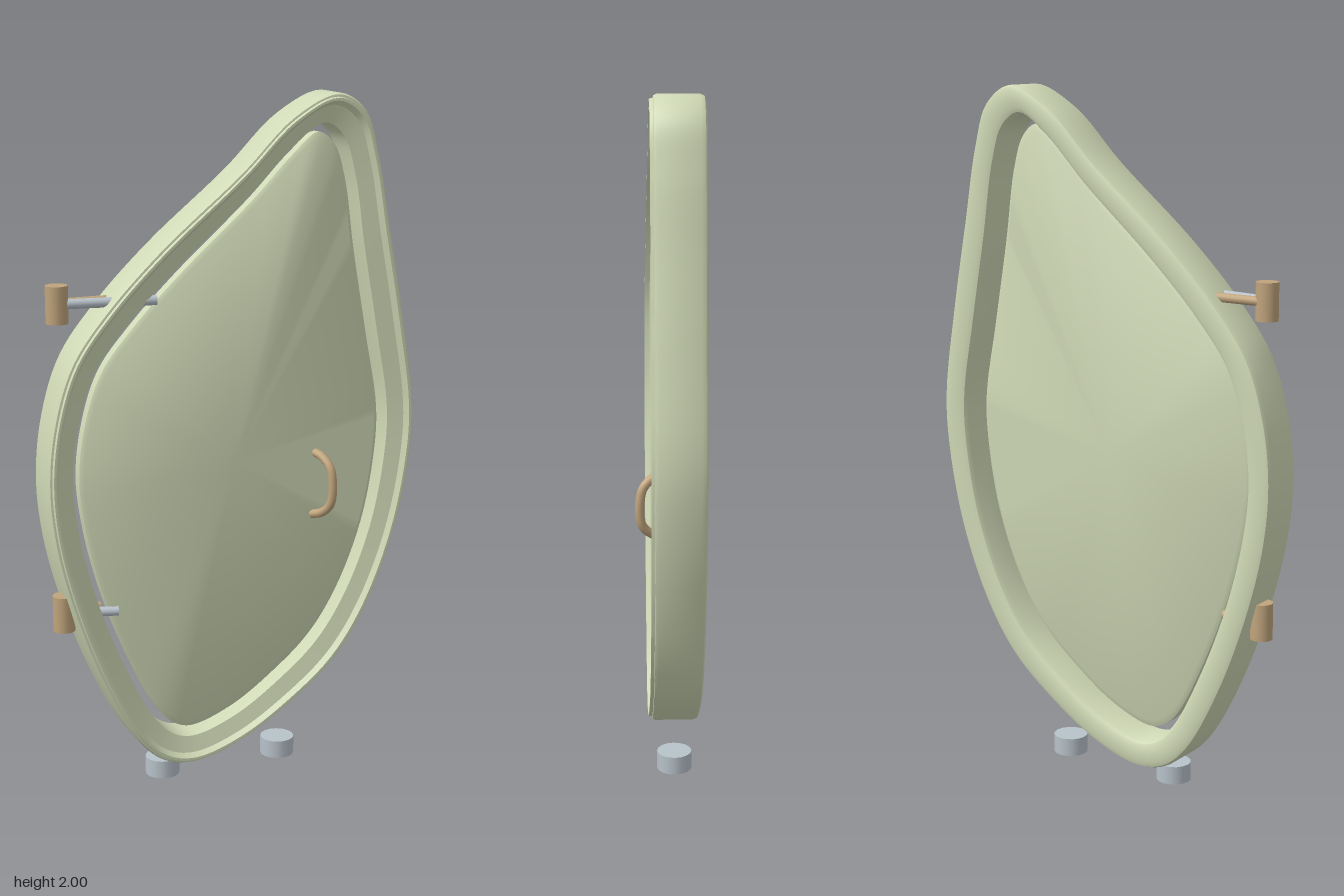
import * as THREE from 'three';
import { toCreasedNormals } from 'three/addons/utils/BufferGeometryUtils.js';

const SEGMENTS = 150;
const paint = (color) => new THREE.MeshStandardMaterial({ color });
const green = paint(0xd0d9b6), tan = paint(0xc0a47c), metal = paint(0xb8c2ca);

// Outline of the frame and of the door leaf, clockwise from the top; the points pair up.
const outerPoints = [
  [0.31, 2.0], [0.395, 1.95], [0.44, 1.82], [0.48, 1.61], [0.53, 1.34], [0.567, 1.08], [0.56, 0.92],
  [0.51, 0.68], [0.42, 0.455], [0.315, 0.3], [0.17, 0.18], [0.01, 0.085], [-0.135, 0.042],
  [-0.23, 0.06], [-0.31, 0.13], [-0.415, 0.32], [-0.505, 0.56], [-0.557, 0.77], [-0.572, 0.95],
  [-0.55, 1.13], [-0.495, 1.29], [-0.39, 1.43], [-0.23, 1.59], [0.01, 1.79], [0.17, 1.94],
];
const doorPoints = [
  [0.26, 1.89], [0.31, 1.855], [0.345, 1.755], [0.375, 1.555], [0.42, 1.3], [0.46, 1.07], [0.455, 0.93],
  [0.415, 0.72], [0.335, 0.52], [0.245, 0.385], [0.12, 0.275], [-0.01, 0.19], [-0.135, 0.148],
  [-0.185, 0.16], [-0.235, 0.205], [-0.325, 0.38], [-0.405, 0.59], [-0.455, 0.79], [-0.472, 0.95],
  [-0.45, 1.11], [-0.4, 1.25], [-0.305, 1.37], [-0.165, 1.51], [0.06, 1.71], [0.18, 1.83],
];
const outline = (pts) =>
  new THREE.CatmullRomCurve3(pts.map(([x, y]) => new THREE.Vector3(x, y, 0)), true).getPoints(SEGMENTS);
const outer = outline(outerPoints), leaf = outline(doorPoints);
const centre = new THREE.Vector3(0, 0.95, 0);

// Sweeps a section of [inset, z] round the outline: 0 is the frame edge, 1 the leaf edge, 2 the centre.
function loft(section) {
  const position = [], index = [];
  for (const [inset, z] of section) {
    for (let i = 0; i <= SEGMENTS; i++) {
      const p = inset <= 1
        ? outer[i].clone().lerp(leaf[i], inset)
        : leaf[i].clone().lerp(centre, inset - 1);
      position.push(p.x, p.y, z);
    }
  }
  const row = SEGMENTS + 1;
  for (let s = 0; s < section.length - 1; s++) {
    for (let i = 0; i < SEGMENTS; i++) {
      const a = s * row + i, b = a + row;
      index.push(a, a + 1, b, a + 1, b + 1, b);
    }
  }
  const geometry = new THREE.BufferGeometry();
  geometry.setAttribute('position', new THREE.Float32BufferAttribute(position, 3));
  geometry.setIndex(index);
  return toCreasedNormals(geometry, 0.6);
}

function add(parent, name, geometry, material) {
  const mesh = new THREE.Mesh(geometry, material);
  mesh.name = name;
  parent.add(mesh);
  return mesh;
}

// Capped round bar between two points
function bar(parent, name, from, to, radius, material) {
  const a = new THREE.Vector3(...from), b = new THREE.Vector3(...to);
  const dir = b.clone().sub(a);
  const mesh = add(parent, name, new THREE.CylinderGeometry(radius, radius, dir.length(), 16), material);
  mesh.position.copy(a).add(b).multiplyScalar(0.5);
  mesh.quaternion.setFromUnitVectors(new THREE.Vector3(0, 1, 0), dir.normalize());
}

export function createModel() {
  const model = new THREE.Group();
  model.name = 'door';

  // Frame with a raised front lip and a rounded back
  add(model, 'frame', loft([
    [0.75, 0.03], [0.3, 0.042], [0.19, 0.057], [0.12, 0.057], [0.1, 0.047], [0.04, 0.046], [0, 0.037],
    [0, -0.076], [0.05, -0.088], [0.18, -0.093], [0.55, -0.093], [0.68, -0.087], [0.75, -0.074], [0.75, 0.03],
  ]), green);

  // Recessed door leaf, separated from the frame by a narrow gap
  add(model, 'doorPanel', loft([
    [2, 0.02], [1.025, 0.02], [1, 0.012], [1, -0.022], [1.025, -0.03], [2, -0.03],
  ]), green);

  // Hinges: barrel, front arm to the leaf, rear arm to the frame
  for (const [name, y, frontEnd, rearEnd] of [
    ['upperHinge', 1.445, -0.238, -0.3], ['lowerHinge', 0.545, -0.365, -0.4],
  ]) {
    const hinge = new THREE.Group();
    hinge.name = name;
    bar(hinge, 'barrel', [-0.515, y - 0.053, -0.023], [-0.515, y + 0.053, -0.023], 0.032, tan);
    bar(hinge, 'frontArm', [-0.51, y, -0.018], [frontEnd, y, 0.022], 0.014, metal);
    bar(hinge, 'rearArm', [-0.51, y, -0.038], [rearEnd, y, -0.038], 0.013, tan);
    model.add(hinge);
  }

  // Bent pull handle
  const handlePath = new THREE.CatmullRomCurve3([
    [0.258, 0.952, 0.015], [0.27, 0.942, 0.045], [0.282, 0.91, 0.077],
    [0.282, 0.81, 0.08], [0.268, 0.775, 0.05], [0.25, 0.762, 0.015],
  ].map((p) => new THREE.Vector3(...p)));
  add(model, 'handle', new THREE.TubeGeometry(handlePath, 40, 0.013, 12), tan);

  // Feet
  for (const x of [-0.22, 0.155]) {
    bar(model, 'foot', [x, 0, -0.016], [x, 0.054, -0.016], 0.051, metal);
  }
  return model;
}
